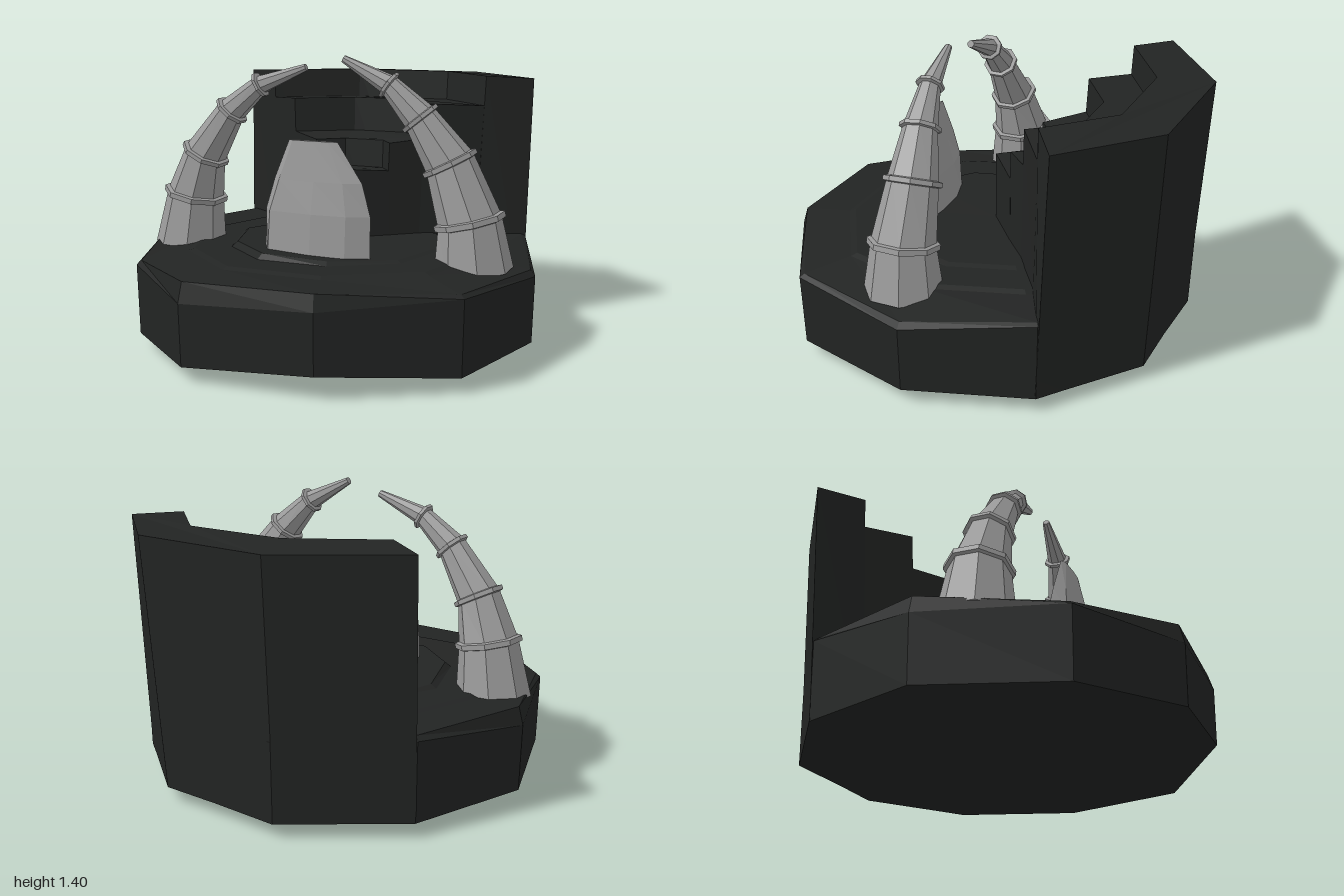
import * as THREE from 'three';

const stone = new THREE.MeshStandardMaterial({ color: 0x222423, flatShading: true });
const bone = new THREE.MeshStandardMaterial({ color: 0x9a9a9a, flatShading: true });

// Skin a list of equal-length point loops, lowest first; a loop may collapse to one point.
function loft(loops) {
  const pos = [];
  const tri = (a, b, c) => {
    if (a.distanceTo(b) < 1e-6 || b.distanceTo(c) < 1e-6 || a.distanceTo(c) < 1e-6) return;
    for (const p of [a, b, c]) pos.push(p.x, p.y, p.z);
  };
  for (let i = 0; i < loops.length - 1; i++) {
    const lo = loops[i], hi = loops[i + 1], n = lo.length;
    for (let j = 0; j < n; j++) {
      const k = (j + 1) % n;
      tri(lo[j], hi[j], hi[k]);
      tri(lo[j], hi[k], lo[k]);
    }
  }
  const g = new THREE.BufferGeometry();
  g.setAttribute('position', new THREE.Float32BufferAttribute(pos, 3));
  g.computeVertexNormals();
  return g;
}

function add(parent, name, geometry, material) {
  const mesh = new THREE.Mesh(geometry, material);
  mesh.name = name;
  parent.add(mesh);
}

// Ten-sided plinth outline as [x, z, foot height, rim height, bevel height, dais height]
const OUTLINE = [
  [1, 0, 0.07, 0.39, 0.42, 0.48], [0.85, 0.61, 0.07, 0.42, 0.435, 0.482],
  [0.31, 0.96, 0.11, 0.39, 0.465, 0.488], [-0.33, 0.98, 0.07, 0.36, 0.455, 0.497],
  [-0.78, 0.63, 0.07, 0.41, 0.43, 0.497], [-1, 0, 0.07, 0.39, 0.475, 0.49],
  [-0.8, -0.58, 0.07, 0.45, 0.47, 0.48], [-0.3, -0.95, 0.07, 0.45, 0.47, 0.48],
  [0.35, -0.92, 0.07, 0.45, 0.47, 0.48], [0.8, -0.58, 0.07, 0.45, 0.46, 0.48],
];

function buildBase(group) {
  // height is a number, or the column of the outline that holds it
  const loop = (s, height) => OUTLINE.map((o) => new THREE.Vector3(o[0] * s, height(o), o[1] * s));
  const level = (y) => () => y;
  const loops = [
    loop(0, level(0)), loop(0.99, (o) => o[2]), loop(0.998, (o) => o[3]), loop(0.975, (o) => o[4]),
    loop(0.75, level(0.465)), loop(0.72, level(0.475)), loop(0.54, level(0.472)),
    loop(0.51, (o) => o[5]), loop(0, level(0.483)),
  ];
  add(group, 'plinth', loft(loops), stone);
}

// Back wall: wedge-shaped tiers stepping down towards the centre
function buildBackWall(group) {
  const arcs = [
    [[-0.81, -0.62], [-0.3, -0.95], [0.4, -0.94], [0.81, -0.62]],
    [[-0.6, -0.48], [-0.2, -0.73], [0.31, -0.74], [0.6, -0.48]],
    [[-0.4, -0.32], [-0.13, -0.5], [0.16, -0.51], [0.34, -0.3]],
    [[-0.2, -0.16], [-0.08, -0.26], [0.13, -0.26], [0.2, -0.17]],
    [[0, 0]],
  ];
  // top height of each tier at its [outer, inner] edge
  const heights = [[1.26, 1.275], [1.125, 1.14], [0.965, 0.95], [0.81, 0.83]];
  const floor = 0.07;
  heights.forEach(([outerY, innerY], i) => {
    const bottom = i === 0 ? floor : 0.4;
    const pts = [...arcs[i], ...[...arcs[i + 1]].reverse()];
    const shape = new THREE.Shape(pts.map(([x, z]) => new THREE.Vector2(x, -z)));
    const g = new THREE.ExtrudeGeometry(shape, { depth: outerY - bottom, bevelEnabled: false });
    g.rotateX(-Math.PI / 2).translate(0, bottom, 0);
    const p = g.attributes.position;
    for (let k = 0; k < p.count; k++) {
      const x = p.getX(k), y = p.getY(k), z = p.getZ(k);
      const up = (y - floor) / 1.2;
      if (Math.hypot(x, z) < 0.88 - 0.26 * i) {
        // tilt the top of the tier and batter its inner face
        if (y > bottom + 0.1) p.setY(k, innerY);
        else p.setXYZ(k, x * 0.92, y, z * 0.92);
      } else if (z < -0.8) {
        // lean the rear of the tallest tier outwards
        p.setZ(k, z + 0.02 - 0.055 * up);
        if (x > 0) p.setX(k, x - 0.055 * (1 - up));
      } else if (Math.abs(x) > 0.75) {
        p.setZ(k, z + 0.05 * (1 - up));
        p.setX(k, x * (0.98 + 0.02 * up));
      }
    }
    g.computeVertexNormals();
    add(group, 'wallTier' + (i + 1), g, stone);
  });
}

// Curved horn; stations are [x, y, z, radius], with a collar at each inner station
function buildHorn(group, name, stations) {
  const horn = new THREE.Group();
  horn.name = name;
  const SIDES = 8;
  const centres = stations.map(([x, y, z]) => new THREE.Vector3(x, y, z));
  const tangent = (i) => centres[Math.min(i + 1, centres.length - 1)].clone()
    .sub(centres[Math.max(i - 1, 0)]).normalize();
  const ring = (i, r, shift = 0) => {
    const t = tangent(i);
    const u = new THREE.Vector3().crossVectors(t, new THREE.Vector3(0, 0, 1)).normalize();
    const v = new THREE.Vector3().crossVectors(u, t);
    return Array.from({ length: SIDES }, (_, j) => {
      const a = ((j + 0.5) / SIDES) * Math.PI * 2;
      return centres[i].clone().addScaledVector(t, shift)
        .addScaledVector(u, r * Math.cos(a)).addScaledVector(v, r * Math.sin(a));
    });
  };
  const last = stations.length - 1;
  const loops = stations.map((s, i) => ring(i, s[3]));
  add(horn, 'hornShaft', loft([ring(0, 0), ...loops, ring(last, 0)]), bone);
  for (let i = 1; i < last; i++) {
    const r = stations[i][3];
    const w = 0.008 + r * 0.09;
    const collar = [ring(i, r * 0.9, -w), ring(i, r + 0.018, -w * 0.6),
      ring(i, r + 0.018, w * 0.6), ring(i, r * 0.85, w)];
    add(horn, 'hornCollar', loft(collar), bone);
  }
  group.add(horn);
}

// Upright slab narrowing to a flat top; levels are [y, centre x, half width, centre z, half depth]
function buildSlab(group) {
  const levels = [
    [0.45, 0.035, 0.28, 0.35, 0.08], [0.68, 0.04, 0.275, 0.35, 0.065],
    [0.83, 0.045, 0.228, 0.35, 0.042], [1.015, 0.025, 0.125, 0.352, 0.014],
  ];
  const section = [[1, 0.1], [0.62, 0.8], [0, 1], [-0.8, 0.75], [-1, -0.4], [-0.5, -0.95], [0.1, -1], [0.6, -0.85]];
  const loops = levels.map(([y, cx, w, cz, d]) =>
    section.map(([a, b]) => new THREE.Vector3(cx + a * w, y, cz + b * d)));
  const top = section.map(() => new THREE.Vector3(0.025, 1.015, 0.352));
  add(group, 'standingSlab', loft([...loops, top]), bone);
}

export function createModel() {
  const group = new THREE.Group();
  group.name = 'hornedShrine';
  buildBase(group);
  buildBackWall(group);
  buildHorn(group, 'leftHorn', [
    [0.735, 0.42, 0.115, 0.185], [0.713, 0.65, 0.12, 0.15], [0.612, 0.915, 0.12, 0.118],
    [0.475, 1.12, 0.15, 0.08], [0.33, 1.27, 0.175, 0.05], [0.11, 1.385, 0.195, 0.018],
  ]);
  buildHorn(group, 'rightHorn', [
    [-0.745, 0.42, 0.185, 0.18], [-0.71, 0.69, 0.185, 0.142], [-0.64, 0.9, 0.2, 0.104],
    [-0.485, 1.12, 0.205, 0.07], [-0.33, 1.25, 0.195, 0.047], [-0.09, 1.34, 0.18, 0.018],
  ]);
  buildSlab(group);
  return group;
}
